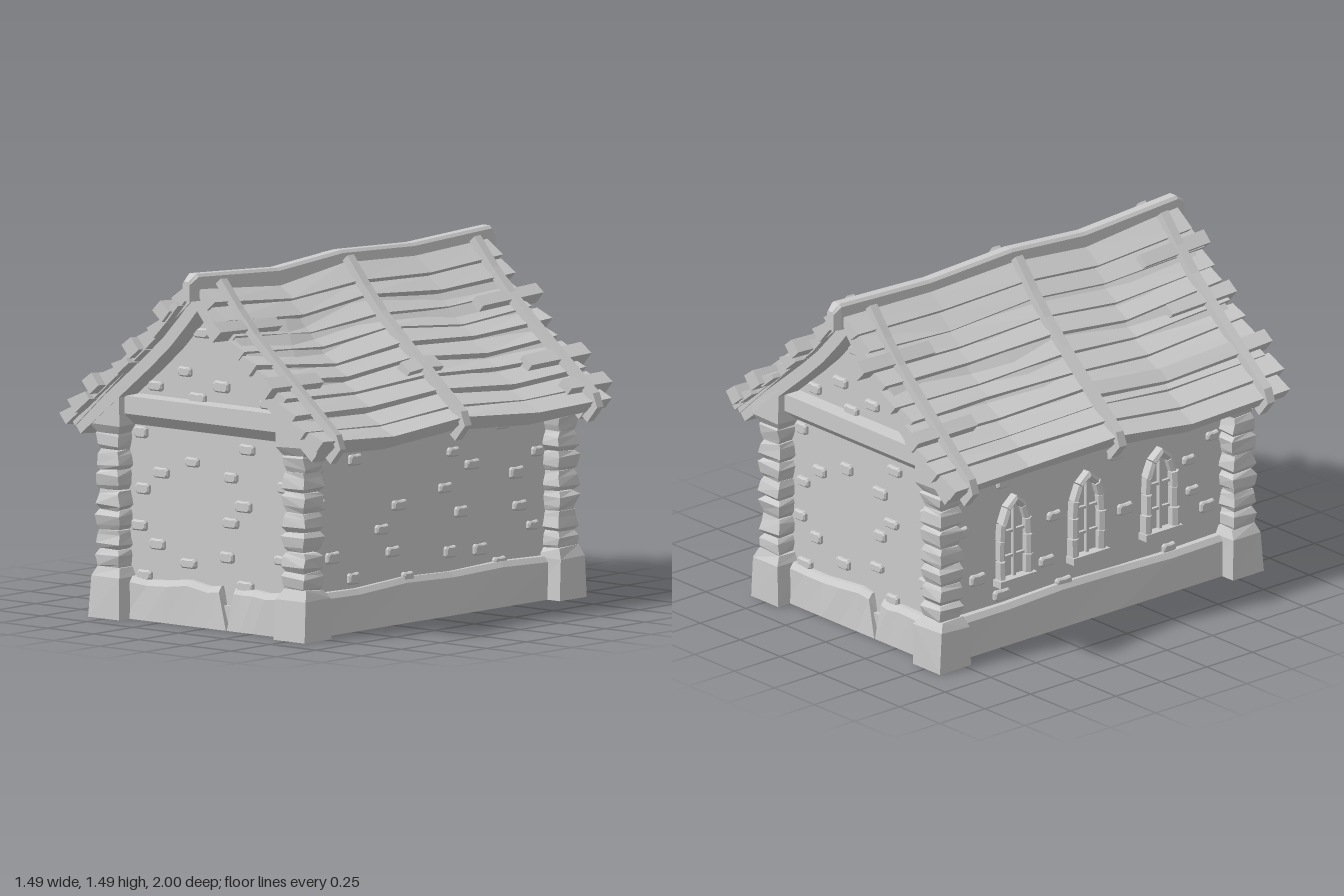
import * as THREE from 'three';

const mat = new THREE.MeshStandardMaterial({ color: 0xcccccc, flatShading: true });
let seed = 7;
const rnd = (a = -1, b = 1) => {
  seed = (seed * 16807) % 2147483647;
  return a + (b - a) * (seed / 2147483647);
};
const lerpTable = (xs, ys, x) => {
  if (x <= xs[0]) return ys[0];
  for (let i = 1; i < xs.length; i++)
    if (x <= xs[i]) return ys[i - 1] + (ys[i] - ys[i - 1]) * (x - xs[i - 1]) / (xs[i] - xs[i - 1]);
  return ys[ys.length - 1];
};

// Solid skin over a row of equal-length rings of [x, y, z], capped at both ends
function loft(name, rings) {
  const tris = [], n = rings[0].length, last = rings[rings.length - 1];
  for (let r = 0; r + 1 < rings.length; r++)
    for (let i = 0; i < n; i++) {
      const j = (i + 1) % n, a = rings[r], b = rings[r + 1];
      tris.push([a[i], a[j], b[j]], [a[i], b[j], b[i]]);
    }
  for (let i = 1; i + 1 < n; i++) tris.push([rings[0][0], rings[0][i + 1], rings[0][i]], [last[0], last[i], last[i + 1]]);
  // turn the faces outward whichever way the rings run
  let vol = 0;
  for (const [a, b, c] of tris)
    vol += a[0] * (b[1] * c[2] - b[2] * c[1]) - a[1] * (b[0] * c[2] - b[2] * c[0]) + a[2] * (b[0] * c[1] - b[1] * c[0]);
  const pos = tris.flatMap(t => (vol < 0 ? [t[0], t[2], t[1]] : t).flat());
  const g = new THREE.BufferGeometry();
  g.setAttribute('position', new THREE.Float32BufferAttribute(pos, 3));
  g.computeVertexNormals();
  const m = new THREE.Mesh(g, mat);
  m.name = name;
  return m;
}
const box = (name, w, h, d, x, y, z) => {
  const m = new THREE.Mesh(new THREE.BoxGeometry(w, h, d), mat);
  m.position.set(x, y, z);
  m.name = name;
  return m;
};

// Roof surface: s runs from ridge to eave, d is the height off the slope
const slope = new THREE.CatmullRomCurve3([[0, 1.41], [0.17, 1.215], [0.43, 0.99], [0.66, 0.80]].map(p => new THREE.Vector3(p[0], p[1], 0)));
const stations = [-0.9, -0.45, 0, 0.4, 0.9];
const sag = [0, -0.02, 0.005, -0.035, 0];
const bow = { 1: [0.01, 0, -0.02, -0.06, 0], '-1': [-0.01, -0.06, -0.01, -0.015, 0.01] };
function roofPoint(side, s, d, z) {
  const c = Math.min(Math.max(s, 0), 1), p = slope.getPointAt(c), t = slope.getTangentAt(c), e = (s - c) * 0.92;
  return [side * (p.x + t.x * e - t.y * d + lerpTable(stations, bow[side], z) * c),
    p.y + t.y * e + t.x * d + lerpTable(stations, sag, z), z];
}
function plank(name, side, s0, s1, z0, z1, bottom, top0, top1, wobble = 1) {
  const zs = [z0, ...stations.slice(1, 4).filter(z => z > z0 + 0.05 && z < z1 - 0.05), z1];
  return loft(name, zs.map(z => {
    const a = s0 + rnd() * 0.012 * wobble, b = s1 + rnd() * 0.012 * wobble, k = rnd() * 0.006 * wobble;
    return [[a, bottom], [a, top0 + k], [b, top1 + k], [b, bottom]].map(q => roofPoint(side, q[0], q[1], z));
  }));
}

function roof() {
  const g = new THREE.Group();
  g.name = 'roof';
  const stubs = { 1: [[0.25, 0.6, 1.0], [0.33, -0.98, -0.6], [0.62, 0.6, 0.96], [0.72, -0.96, -0.6], [0.9, -0.95, -0.7], [0.66, -0.1, 0.1]],
    '-1': [[0.27, -1.0, -0.6], [0.7, -0.95, -0.6], [0.74, 0.02, 0.96], [0.17, 0.6, 0.95], [0.45, 0.6, 0.94]] };
  for (const side of [1, -1]) {
    g.add(plank('roofDeck', side, 0, 1, -0.89, 0.89, -0.01, 0.02, 0.02, 0));
    const count = 10;
    for (let i = 0; i < count; i++) {
      const s0 = i / count, lift = rnd(-0.008, 0.008);
      g.add(plank('roofPlank', side, s0 + 0.004, s0 + 1 / count + 0.012, -rnd(0.89, 0.94), rnd(0.89, 0.94), 0.012, 0.04 + lift, 0.068 + lift));
    }
    for (const [s, z0, z1] of stubs[side])
      g.add(plank('loosePlank', side, s - 0.035, s + 0.035, z0, z1, 0.02, 0.084, 0.088, 0.5));
    // straps folded over the eave
    for (const z of [-0.8, 0, 0.8]) {
      const path = [0, 0.17, 0.33, 0.5, 0.67, 0.84, 0.99].map(s => [s, 0.06, s, 0.096]);
      path.push([1.02, 0.05, 1.05, 0.065], [1.01, -0.02, 1.05, -0.02]);
      g.add(loft('roofStrap', path.map(([a, d, b, e]) =>
        [[a, d, -1], [b, e, -1], [b, e, 1], [a, d, 1]].map(q => roofPoint(side, q[0], q[1], z + q[2] * 0.02)))));
    }
    // curved gable trim at both ends
    for (const end of [1, -1])
      g.add(loft('gableTrim', [0, 0.15, 0.3, 0.45, 0.6, 0.8, 1].map(s =>
        [[-0.05, 0.79], [0.002, 0.79], [0.002, 0.885], [-0.05, 0.885]].map(q => roofPoint(side, s, q[0], end * q[1])))));
  }
  // ridge beam
  const ridge = [[-0.975, -0.03], [-0.94, 0], [-0.45, -0.02], [0, 0], [0.4, -0.03], [0.91, 0], [0.955, -0.03]];
  g.add(loft('ridgeBeam', ridge.map(([z, dy], i) => {
    const w = i % 6 ? 0.031 : 0.02;
    return [[-w, 1.38, z], [-w, 1.48 + dy, z], [-w * 0.6, 1.492 + dy, z], [w * 0.6, 1.492 + dy, z], [w, 1.48 + dy, z], [w, 1.38, z]];
  })));
  return g;
}

// Corner foot, stacked stones and cap
function cornerPillar(sx, sz) {
  const g = new THREE.Group();
  g.name = 'cornerPillar';
  const ring = (y, h, j = 0, slant = 0) => [[-1, -1], [1, -1], [1, 1], [-1, 1]].map(([u, v]) =>
    [sx * (0.507 + u * (h + rnd() * j)), y + rnd() * j - u * slant, sz * (0.805 + v * (h + rnd() * j))]);
  g.add(loft('footBlock', [ring(0, 0.085), ring(0.175, 0.079, 0.006), ring(0.212, 0.06, 0.008)]));
  const n = 7, h = 0.585 / n;
  for (let i = 0; i < n; i++) {
    const y = 0.2 + i * h, flare = i % 2 ? 0.057 : 0.063;
    g.add(loft('pillarStone', [ring(y, 0.047, 0.004), ring(y + h * 0.25, 0.125 - flare - 0.005, 0.006), ring(y + h * 0.75, flare, 0.006), ring(y + h, 0.05, 0.005)]));
  }
  g.add(loft('pillarCap', [ring(0.765, 0.052), ring(0.81, 0.08, 0.004), ring(0.915, 0.08, 0, 0.045)]));
  return g;
}

// Plinth strip along local x, with optional sloped ends at a crack
function plinthStrip(x0, x1, tilt0, tilt1) {
  const rings = [];
  for (let i = 0; i <= 5; i++) {
    const t = i / 5, dy = i % 5 ? rnd() * 0.012 : 0, out = rnd() * 0.008;
    const tilt = i === 0 ? tilt0 : i === 5 ? tilt1 : 0, x = x0 + (x1 - x0) * t;
    rings.push([[x, 0, -0.05], [x, 0, 0.045], [x + tilt, 0.155 + dy, 0.035 + out], [x + tilt, 0.178 + dy, 0.018 + out], [x + tilt, 0.182 + dy, -0.05]]);
  }
  return loft('plinth', rings);
}

function brick(x, y) {
  const w = 0.038 + rnd() * 0.005, h = 0.022 + rnd() * 0.003, c = 0.009;
  const ring = (z, k) => [[-w + c, -h], [w - c, -h], [w, -h + c], [w, h - c], [w - c, h], [0, h - 0.003], [-w + c, h], [-w, h - c], [-w, -h + c]]
    .map(p => [x + p[0] - Math.sign(p[0]) * k, y + p[1] - Math.sign(p[1]) * k, z]);
  return loft('wallBrick', [ring(-0.01, 0), ring(0.012, 0), ring(0.019, 0.006)]);
}

// Pointed window with a stone surround
function archedWindow(x) {
  const g = new THREE.Group();
  g.name = 'archedWindow';
  const half = [[0.085, 0.28], [0.086, 0.37], [0.085, 0.46], [0.08, 0.535], [0.052, 0.605], [0, 0.65]];
  const path = [...half, ...half.slice(0, -1).reverse().map(p => [-p[0], p[1]])];
  const inner = p => [p[0] * 0.66, p[1] - (p[1] > 0.5 ? 0.032 * (p[1] - 0.5) / 0.15 : 0)];
  for (let i = 0; i + 1 < path.length; i++) {
    const depth = 0.042 + rnd() * 0.005, k = 1.06 + rnd() * 0.05;
    const ends = [[0.03], [0.97]].map(([t]) => {
      const p = [0, 1].map(j => path[i][j] + (path[i + 1][j] - path[i][j]) * t), a = inner(path[i]), b = inner(path[i + 1]);
      const q = [0, 1].map(j => a[j] + (b[j] - a[j]) * t), o = [p[0] * k, p[1]];
      return [[x + q[0], q[1], -0.02], [x + o[0], o[1], -0.02], [x + o[0], o[1], depth - 0.008], [x + (o[0] + q[0]) / 2, (o[1] + q[1]) / 2, depth], [x + q[0], q[1], depth - 0.012]];
    });
    g.add(loft('surroundStone', ends));
  }
  g.add(loft('windowPane', [-0.01, 0.006].map(z => path.map(p => [x + inner(p)[0] * 1.05, inner(p)[1], z]))));
  g.add(box('mullion', 0.014, 0.35, 0.03, x, 0.45, 0.008));
  for (const y of [0.38, 0.49]) g.add(box('glazingBar', 0.11, 0.012, 0.024, x, y, 0.008));
  g.add(box('windowSill', 0.2, 0.03, 0.06, x, 0.275, 0.02));
  return g;
}

const gableBricks = [[-0.39, 0.78], [-0.11, 0.68], [-0.28, 0.62], [-0.38, 0.545], [-0.4, 0.39], [-0.3, 0.32], [-0.13, 0.255], [0.08, 0.3],
  [0.38, 0.315], [0.1, 0.445], [0.17, 0.52], [0.1, 0.635], [0.4, 0.62], [0.19, 0.76], [0.18, 0.185], [-0.37, 0.185],
  [-0.06, 1.225], [-0.15, 1.055], [-0.31, 0.98], [-0.08, 0.95], [0.05, 1.01], [0.21, 1.07], [0.11, 1.165], [0.3, 0.96]];
const sideBricks = [[-0.68, 0.545], [-0.45, 0.71], [-0.17, 0.49], [-0.28, 0.4], [-0.21, 0.3], [-0.72, 0.4], [-0.59, 0.315], [-0.46, 0.215],
  [-0.12, 0.185], [0.17, 0.675], [0.29, 0.61], [0.12, 0.53], [0.22, 0.42], [0.15, 0.26], [0.34, 0.25], [0.57, 0.545],
  [0.59, 0.405], [0.7, 0.62], [0.67, 0.315], [0.46, 0.185], [0.48, 0.76], [-0.69, 0.7]];

export function createModel() {
  seed = 7;
  const model = new THREE.Group();
  model.name = 'stoneHouse';

  // house body with gable ends
  const outline = [[0.48, 0.02], [0.48, 0.92], [0.17, 1.185], [0, 1.38], [-0.17, 1.185], [-0.48, 0.92], [-0.48, 0.02]];
  const body = new THREE.Mesh(new THREE.ExtrudeGeometry(new THREE.Shape(outline.map(p => new THREE.Vector2(...p))), { depth: 1.56, bevelEnabled: false }), mat);
  body.position.z = -0.78;
  body.name = 'walls';
  model.add(body, box('floorSlab', 1.0, 0.1, 1.6, 0, 0.05, 0));

  // front, right, back and left faces share one local layout
  ['frontFace', 'rightFace', 'backFace', 'leftFace'].forEach((name, i) => {
    const face = new THREE.Group(), gable = i % 2 === 0, out = gable ? 0.78 : 0.48;
    face.name = name;
    const clear = ([x, y]) => i !== 3 || y < 0.23 || y > 0.7 || [-0.4, 0, 0.4].every(w => Math.abs(x - w) > 0.15);
    for (const p of (gable ? gableBricks : sideBricks).filter(clear)) face.add(brick(...p));
    if (gable) {
      face.add(plinthStrip(-0.45, 0.105, 0, -0.05), plinthStrip(0.11, 0.45, 0.025, 0));
      const beam = [[0.81, -0.02], [0.81, 0.01], [0.86, 0.07], [0.935, 0.07], [0.94, -0.02]];
      face.add(loft('tieBeam', [-0.44, 0.44].map(x => beam.map(([y, z]) => [x, y, z]))));
    } else face.add(plinthStrip(-0.75, 0.75, 0, 0));
    if (i === 3) for (const x of [-0.4, 0, 0.4]) face.add(archedWindow(x));
    // push each face out along its own normal
    face.rotation.y = i * Math.PI / 2;
    face.position.set(Math.sin(i * Math.PI / 2) * out, 0, Math.cos(i * Math.PI / 2) * out);
    model.add(face);
  });

  for (const sx of [1, -1]) for (const sz of [1, -1]) model.add(cornerPillar(sx, sz));
  model.add(roof());
  return model;
}
